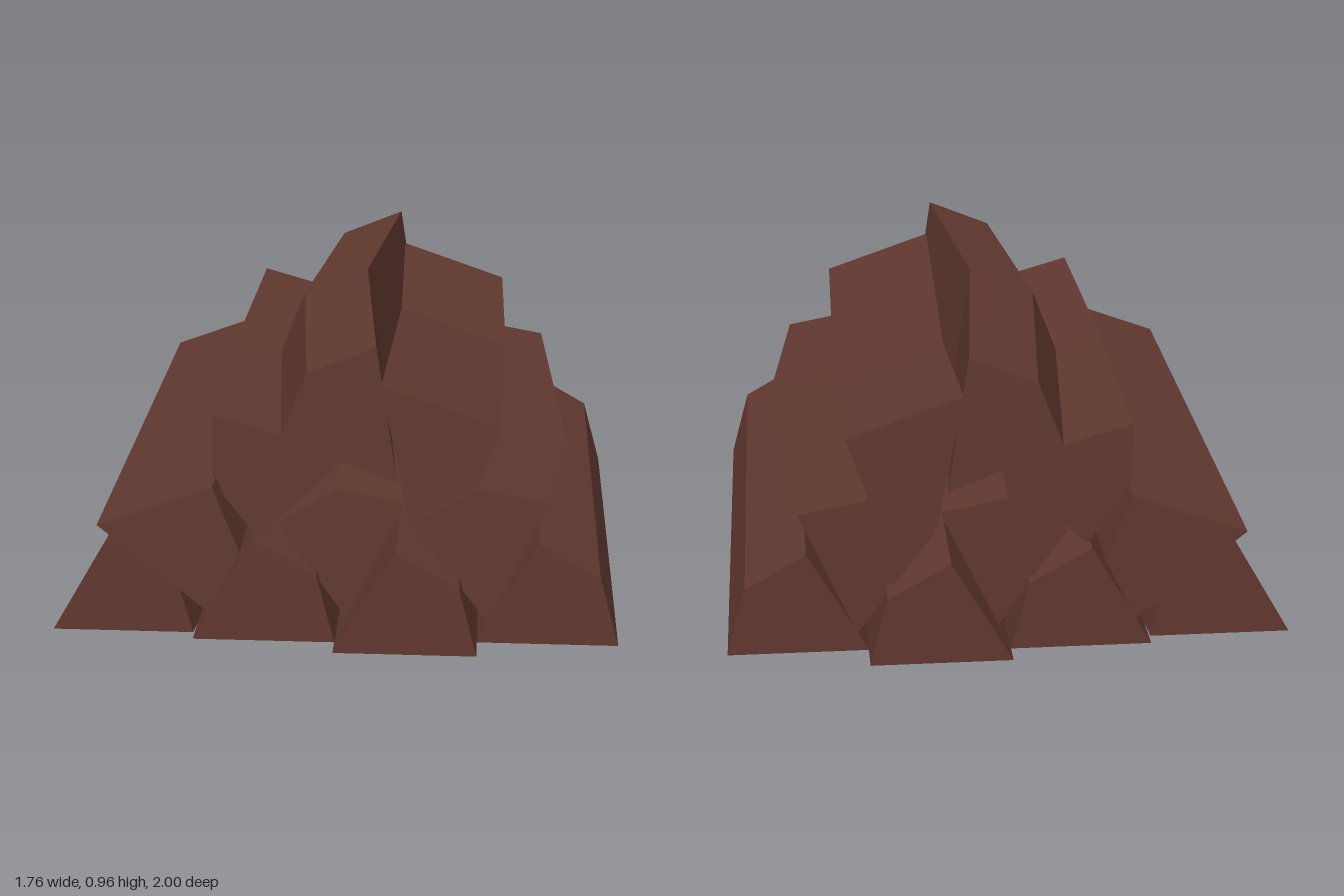
import * as THREE from 'three';

// Each split log: end profile [x, y], half length, and how its middle ring is bent [dx, dy, z].
const LOGS = [
  // bottom row
  { name: 'bottomLogRight', half: 0.87, bend: [0, 0, 0], profile: [[-0.88, 0.01], [-0.69, 0.34], [-0.5, 0.23], [-0.44, 0.01]].map(([x, y]) => [x + 1.322, Math.max(0, y - 0.01)]) },
  { name: 'bottomLogLeft', half: 0.87, bend: [0.05, 0, 0.12], profile: [[-0.88, 0.01], [-0.69, 0.34], [-0.5, 0.23], [-0.44, 0.01]] },
  { name: 'bottomLogInnerLeft', half: 0.92, bend: [0, 0, 0], profile: [[-0.435, 0.01], [-0.245, 0.34], [-0.05, 0.23], [0.005, 0.01]] },
  { name: 'bottomLogInnerRight', half: 1.0, bend: [0, 0, 0], profile: [[0.005, 0.01], [0.195, 0.34], [0.39, 0.23], [0.445, 0.01]] },
  // middle row
  { name: 'middleLogLeft', half: 0.97, bend: [0, 0, 0], profile: [[-0.715, 0.4], [-0.36, 0.53], [-0.28, 0.32], [-0.375, 0.12]] },
  { name: 'middleLogCentre', half: 0.88, bend: [0, 0, 0], profile: [[-0.17, 0.385], [0.01, 0.5], [0.22, 0.46], [0.04, 0.075]] },
  { name: 'middleLogRight', half: 0.91, bend: [0.075, -0.035, 0.3], profile: [[0.24, 0.405], [0.44, 0.52], [0.655, 0.48], [0.48, 0.08]] },
  // top row
  { name: 'topLogLeft', half: 0.87, bend: [-0.022, -0.025, 0], profile: [[-0.235, 0.335], [-0.37, 0.51], [-0.37, 0.725], [0.05, 0.605]] },
  { name: 'topLogCentre', half: 0.87, bend: [-0.075, 0.01, 0], profile: [[-0.16, 0.66], [-0.08, 0.865], [0.13, 0.95], [0.195, 0.52]] },
  { name: 'topLogRight', half: 0.87, bend: [0.015, -0.06, -0.2], profile: [[0.145, 0.83], [0.505, 0.705], [0.435, 0.5], [0.23, 0.4]] },
];

// Extrude the profile in two steps, then shift the middle ring to bend the log.
function logGeometry({ profile, half, bend: [dx, dy, midZ] }) {
  const shape = new THREE.Shape(profile.map(([x, y]) => new THREE.Vector2(x, y)));
  const geometry = new THREE.ExtrudeGeometry(shape, { depth: 2 * half, steps: 2, bevelEnabled: false });
  geometry.translate(0, 0, -half);
  const pos = geometry.attributes.position;
  for (let i = 0; i < pos.count; i++) {
    if (Math.abs(pos.getZ(i)) < 0.01) pos.setXYZ(i, pos.getX(i) + dx, pos.getY(i) + dy, midZ);
  }
  geometry.computeVertexNormals();
  return geometry;
}

export function createModel() {
  const wood = new THREE.MeshStandardMaterial({ color: 0x60382f });
  wood.name = 'darkWood';

  const model = new THREE.Group();
  model.name = 'logPile';
  for (const log of LOGS) {
    const mesh = new THREE.Mesh(logGeometry(log), wood);
    mesh.name = log.name;
    model.add(mesh);
  }
  return model;
}
